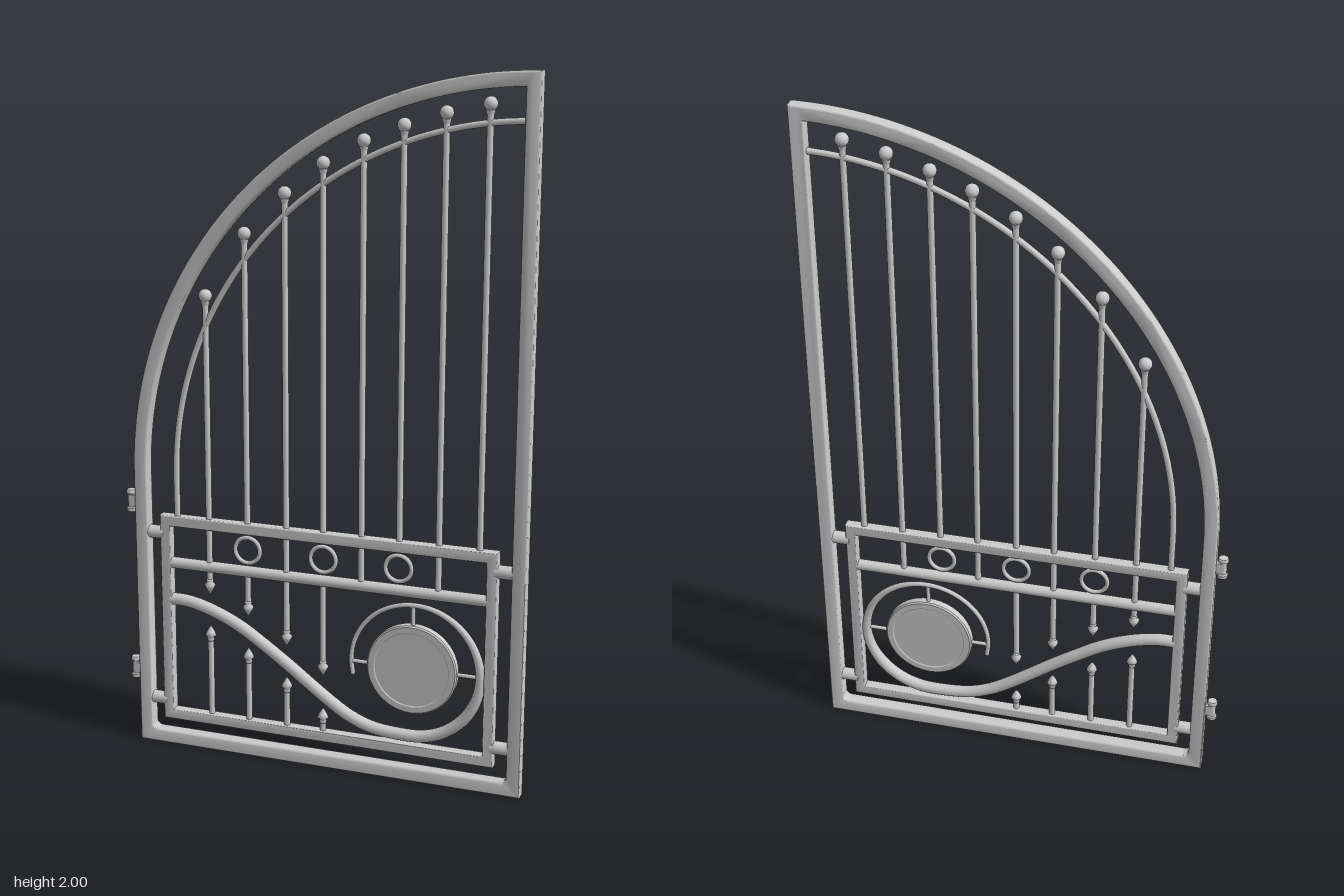
import * as THREE from 'three';
import { toCreasedNormals } from 'three/addons/utils/BufferGeometryUtils.js';

const mat = new THREE.MeshStandardMaterial({ color: 0xcccccc });
const V = (x, y, z = 0) => new THREE.Vector3(x, y, z);

export function createModel() {
  const root = new THREE.Group();
  root.name = 'archedGate';

  const add = (name, geo, x = 0, y = 0, z = 0, parent = root) => {
    const m = new THREE.Mesh(geo, mat);
    m.name = name;
    m.position.set(x, y, z);
    parent.add(m);
    return m;
  };
  // Round bar between two points in the gate plane
  const bar = (name, x1, y1, x2, y2, r, seg = 14) => {
    const a = V(x1, y1), b = V(x2, y2), d = b.clone().sub(a);
    const m = add(name, new THREE.CylinderGeometry(r, r, d.length(), seg), (x1 + x2) / 2, (y1 + y2) / 2);
    m.quaternion.setFromUnitVectors(V(0, 1), d.normalize());
    return m;
  };
  // Bevelled plate of the given depth, centred on z = 0
  const plate = (shape, depth, bevel) => {
    const g = new THREE.ExtrudeGeometry(shape, {
      depth: depth - 2 * bevel, bevelThickness: bevel, bevelSize: bevel,
      bevelOffset: -bevel, bevelSegments: 3, curveSegments: 40,
    });
    g.translate(0, 0, -depth / 2 + bevel);
    return toCreasedNormals(g, 0.55);
  };

  // Outer frame: straight posts and sill with a quarter-circle arch
  const R = 1.165, CX = 0.598, CY = 0.835, W = 0.04;
  const outer = new THREE.Shape();
  outer.moveTo(CX - R, 0);
  outer.lineTo(CX, 0);
  outer.lineTo(CX, CY + R);
  outer.absarc(CX, CY, R, Math.PI / 2, Math.PI, false);
  outer.closePath();
  const r = R - W, c = 0.018, xl = CX - r, xr = CX - W;
  const hole = new THREE.Path();
  hole.moveTo(xl, W + c);
  hole.quadraticCurveTo(xl, W, xl + c, W);
  hole.lineTo(xr - c, W);
  hole.quadraticCurveTo(xr, W, xr, W + c);
  hole.lineTo(xr, CY + Math.sqrt(r * r - W * W));
  hole.absarc(CX, CY, r, Math.PI / 2 + Math.asin(W / r), Math.PI, false);
  hole.closePath();
  outer.holes.push(hole);
  add('outerFrame', plate(outer, 0.04, 0.005));

  // Slim inner arch, parallel to the outer one
  const arch = new THREE.CurvePath();
  const r2 = 1.038, pts = [V(CX - r2, 0.7), V(CX - r2, 0.77)];
  const end = Math.PI / 2 + 0.035;
  for (let i = 0; i <= 20; i++) {
    const a = Math.PI + (end - Math.PI) * i / 20;
    pts.push(V(CX + r2 * Math.cos(a), CY + r2 * Math.sin(a)));
  }
  add('innerArch', new THREE.TubeGeometry(new THREE.CatmullRomCurve3(pts), 80, 0.009, 10));

  // Lower panel frame and its middle rail
  const L = -0.49, T = 0.713, RT = 0.518, B = 0.078, F = 0.032;
  const panel = new THREE.Shape([[L, B], [RT, B], [RT, T], [L, T]].map(p => new THREE.Vector2(...p)));
  panel.holes.push(new THREE.Path([[L + F, B + F], [L + F, T - F], [RT - F, T - F], [RT - F, B + F]]
    .map(p => new THREE.Vector2(...p))));
  add('panelFrame', plate(panel, 0.032, 0.004));
  bar('middleRail', L + F - 0.005, 0.567, RT - F + 0.005, 0.567, 0.0165, 20);

  // Short pins joining panel and outer frame
  for (const y of [0.656, 0.136]) {
    bar('panelPin', xl - 0.01, y, L + 0.01, y, 0.019, 20);
    bar('panelPin', RT - 0.01, y, xr + 0.01, y, 0.019, 20);
  }

  // Spear head: tip points up from a base at y = 0
  const spear = new THREE.LatheGeometry([[0, 0], [0.009, 0], [0.011, 0.006], [0.008, 0.01], [0.016, 0.018], [0.012, 0.028], [0, 0.048]]
    .map(p => new THREE.Vector2(...p)), 14);
  const spearHead = (x, y, down) => {
    const m = add('spearHead', spear, x, y);
    if (down) m.rotation.z = Math.PI;
  };

  // Upright bars with ball finials; the first four end in spears below
  const xs = [-0.341, -0.222, -0.103, 0.008, 0.122, 0.233, 0.347, 0.463];
  const tops = [1.364, 1.544, 1.66, 1.745, 1.808, 1.852, 1.887, 1.913];
  const hang = [0.483, 0.43, 0.355, 0.278], rise = [0.387, 0.334, 0.26, 0.18];
  xs.forEach((x, i) => {
    bar('uprightBar', x, 0.7, x, tops[i], 0.009);
    add('ballFinial', new THREE.SphereGeometry(0.019, 18, 12), x, tops[i]);
    add('finialCollar', new THREE.CylinderGeometry(0.013, 0.01, 0.012, 14), x, tops[i] - 0.021);
    if (i % 2 === 0) bar('railSpacer', x, 0.567, x, 0.7, 0.009);
    if (i < 4) {
      bar('hangingBar', x, hang[i] + 0.045, x, 0.567, 0.009);
      spearHead(x, hang[i] + 0.048, true);
      bar('risingBar', x, B + 0.02, x, rise[i] - 0.045, 0.009);
      spearHead(x, rise[i] - 0.048, false);
    }
  });

  // Rings between the two rails
  for (const x of [-0.222, 0.008, 0.231])
    add('railRing', new THREE.TorusGeometry(0.038, 0.0065, 10, 36), x, 0.631);

  // Sweeping scroll: a wave that curls round the disc and tapers
  const DX = 0.276, DY = 0.338;
  const path = [[-0.465, 0.455], [-0.41, 0.453], [-0.335, 0.434], [-0.25, 0.397], [-0.177, 0.351],
    [-0.1, 0.298], [-0.034, 0.249], [0.03, 0.203], [0.09, 0.166], [0.16, 0.141]].map(p => V(...p));
  for (let i = 0; i <= 22; i++) {
    const a = -1.62 + (Math.PI + 0.2 + 1.62) * i / 22;
    const rad = 0.205 - 0.024 * (i / 22);
    path.push(V(DX + rad * Math.cos(a), DY + rad * Math.sin(a)));
  }
  const N = 120, S = 12;
  const curve = new THREE.CatmullRomCurve3(path);
  const scroll = new THREE.TubeGeometry(curve, N, 1, S);
  const pos = scroll.attributes.position, nor = scroll.attributes.normal;
  for (let i = 0; i <= N; i++) {
    const p = curve.getPointAt(i / N);
    const rad = 0.018 - 0.011 * THREE.MathUtils.smoothstep(i / N, 0.5, 0.85);
    for (let j = 0; j <= S; j++) {
      const k = i * (S + 1) + j;
      pos.setXYZ(k, p.x + nor.getX(k) * rad, p.y + nor.getY(k) * rad, p.z + nor.getZ(k) * rad);
    }
  }
  add('scroll', scroll);
  add('scrollTip', new THREE.SphereGeometry(0.007, 12, 8), ...curve.getPointAt(1).toArray());

  // Round disc with a faint raised rim, held by three spokes
  const disc = new THREE.LatheGeometry([[0, -0.013], [0.108, -0.013], [0.111, -0.015], [0.128, -0.015], [0.132, -0.011],
    [0.132, 0.011], [0.128, 0.015], [0.111, 0.015], [0.108, 0.013], [0, 0.013]]
    .map(p => new THREE.Vector2(...p)), 48);
  disc.rotateX(Math.PI / 2);
  add('disc', toCreasedNormals(disc, 0.5), DX, DY);
  bar('discSpoke', DX, DY + 0.12, DX, DY + 0.193, 0.006);
  bar('discSpoke', DX - 0.12, DY, DX - 0.181, DY, 0.006);
  bar('discSpoke', DX + 0.12, DY, DX + 0.2, DY, 0.006);

  // Hinges on the outer post
  const knuckle = new THREE.LatheGeometry([[0, -0.033], [0.013, -0.033], [0.015, -0.03], [0.015, -0.022], [0.011, -0.019],
    [0.011, 0.019], [0.015, 0.022], [0.015, 0.03], [0.013, 0.033], [0, 0.033]]
    .map(p => new THREE.Vector2(...p)), 18);
  for (const y of [0.744, 0.224]) {
    const hinge = new THREE.Group();
    hinge.name = 'hinge';
    hinge.position.set(-0.585, y, 0);
    root.add(hinge);
    add('hingeKnuckle', toCreasedNormals(knuckle, 0.6), 0, 0, 0, hinge);
    add('hingeLeaf', new THREE.BoxGeometry(0.03, 0.034, 0.022), 0.015, 0, 0, hinge);
  }
  return root;
}
